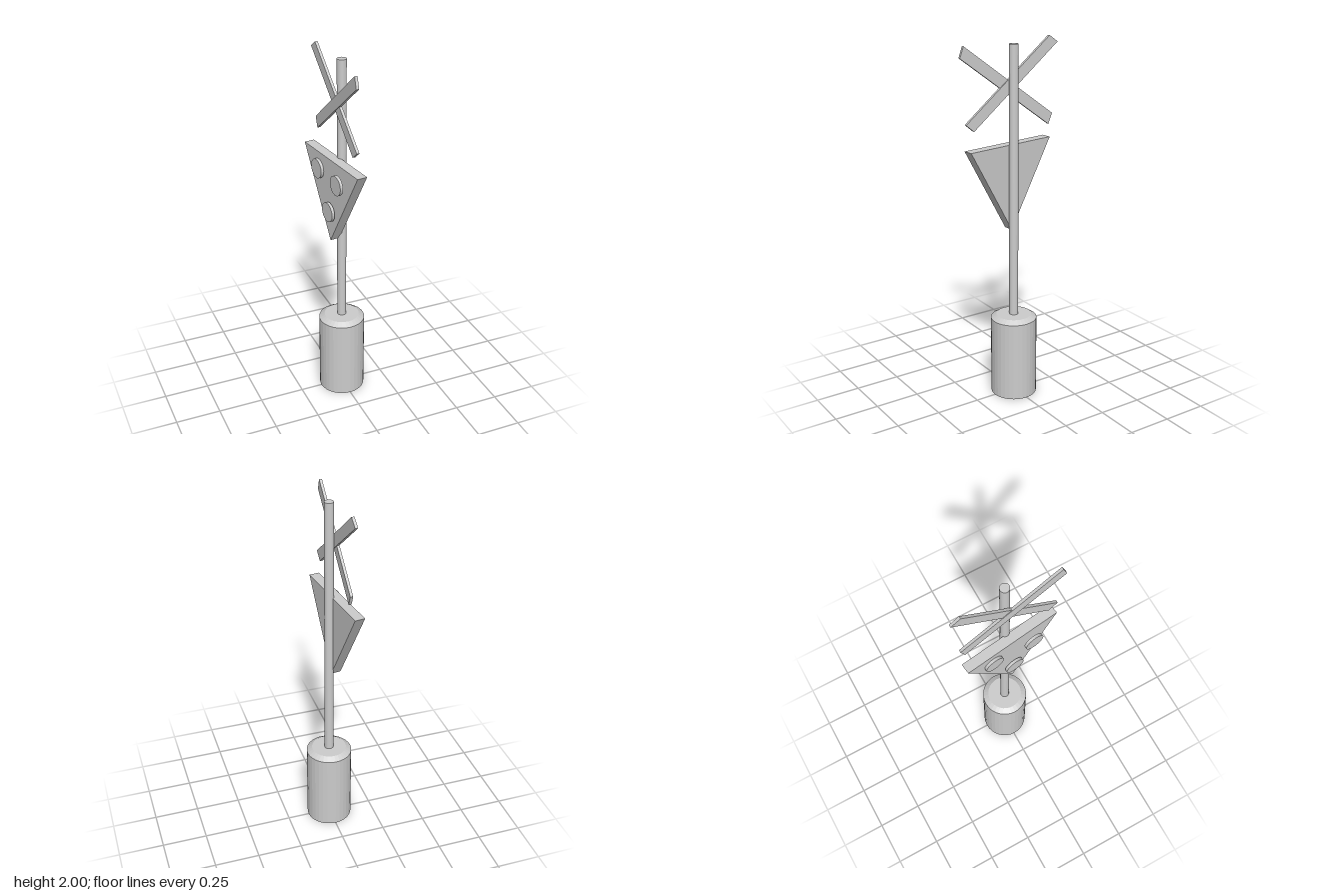
import * as THREE from 'three';

const AXIS_Z = 0.003; // the post stands very slightly forward of centre

export function createModel() {
  const group = new THREE.Group();
  const material = new THREE.MeshStandardMaterial({ color: 0xcccccc, flatShading: true });

  const add = (name, geometry, x, y, z, yaw = 0) => {
    const mesh = new THREE.Mesh(geometry, material);
    mesh.name = name;
    mesh.position.set(x, y, z);
    mesh.rotation.y = yaw;
    group.add(mesh);
    return mesh;
  };

  // Plate outlined by [z, y] points, its outer face at x = 0 and its thickness toward -x
  const plate = (points, thickness) => {
    const shape = new THREE.Shape(points.map(([z, y]) => new THREE.Vector2(z, y)));
    return new THREE.ExtrudeGeometry(shape, { depth: thickness, bevelEnabled: false })
      .rotateY(-Math.PI / 2);
  };

  // Footing with a chamfered rim
  const footing = [[0, 0], [0.128, 0], [0.128, 0.455], [0.097, 0.475], [0, 0.475]]
    .map(([r, y]) => new THREE.Vector2(r, y));
  add('footing', new THREE.LatheGeometry(footing, 32), 0, 0, AXIS_Z);

  // Post
  add('post', new THREE.CylinderGeometry(0.025, 0.025, 1.52, 32), 0, 1.22, AXIS_Z);

  // Crossed boards with slanted ends
  add('crossBoardA', plate([[0.28, 1.985], [0.302, 1.925], [-0.238, 1.525], [-0.262, 1.583]], 0.015),
    -0.03, 0, 0, -0.025);
  add('crossBoardB', plate([[-0.245, 2.0], [-0.298, 1.963], [0.232, 1.543], [0.28, 1.583]], 0.015),
    -0.0265, 0, 0, 0.013);

  // Inverted triangular panel, turned a little about the post
  const yaw = 0.128;
  add('trianglePanel', plate([[-0.275, 1.445], [0, 0.968], [0.275, 1.445]], 0.056),
    -0.014, 0, 0.0055, yaw);

  // Three round lamps on the rear of the panel
  const lamp = new THREE.CylinderGeometry(0.054, 0.054, 0.016, 32).rotateZ(Math.PI / 2);
  [[-0.093, 1.35, -0.108], [-0.083, 1.145, 0.016], [-0.083, 1.35, 0.128]]
    .forEach(([x, y, z], i) => add(`lamp${i + 1}`, lamp, x, y, z, yaw));

  return group;
}
